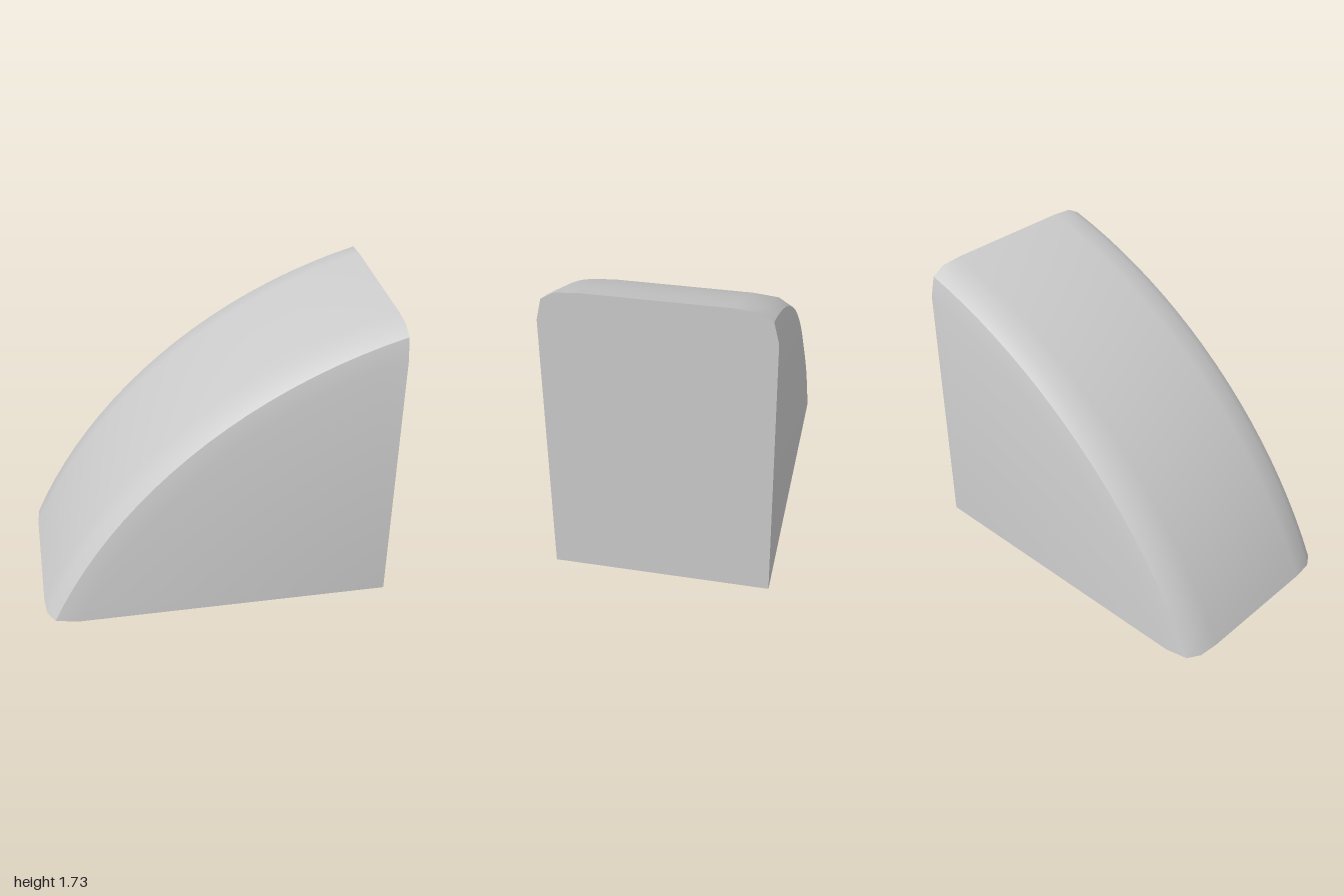
import * as THREE from 'three';
import { toCreasedNormals } from 'three/addons/utils/BufferGeometryUtils.js';

// Circle that carries the curved back (in the XY plane)
const CX = 1.839, CY = -1.2665, R = 3.1087;
const STEPS = 20;

// Rounded edge: half-width z against inset from the curved back
const EDGE = [[0.6, 0.165], [0.572, 0.05], [0.5, 0.01], [0.38, 0]];
const PROFILE = [
  ...EDGE.map(([z, d]) => [-z, d]),
  ...EDGE.slice().reverse(),
];

// Point on the back, trimmed exactly to the planes y = 0 and x = 1
function backPoint(t, [z, inset]) {
  const r = R - inset;
  const a0 = Math.asin(-CY / r), a1 = Math.acos((CX - 1) / r);
  const a = a0 + (a1 - a0) * t;
  return [CX - r * Math.cos(a), CY + r * Math.sin(a), z];
}

export function createModel() {
  const positions = [];
  const tri = (a, b, c) => positions.push(...a, ...b, ...c);
  const fan = (p) => {
    for (let i = 1; i < p.length - 1; i++) tri(p[0], p[i], p[i + 1]);
  };

  const rows = [];
  for (let i = 0; i <= STEPS; i++) rows.push(PROFILE.map((p) => backPoint(i / STEPS, p)));
  const last = PROFILE.length - 1;

  // Curved back with rounded edges
  for (let i = 0; i < STEPS; i++) {
    for (let j = 0; j < last; j++) {
      const a = rows[i][j], b = rows[i][j + 1], c = rows[i + 1][j + 1], d = rows[i + 1][j];
      tri(a, b, c);
      tri(a, c, d);
    }
  }

  // Flat bottom, upright end and both side walls
  const front = [1, 0, 0.6], rear = [1, 0, -0.6];
  fan([front, ...rows[0].slice().reverse(), rear]);
  fan([front, rear, ...rows[STEPS]]);
  fan([front, ...rows.map((r) => r[last]).reverse()]);
  fan([rear, ...rows.map((r) => r[0])]);

  const geometry = new THREE.BufferGeometry();
  geometry.setAttribute('position', new THREE.Float32BufferAttribute(positions, 3));

  const wedge = new THREE.Mesh(
    toCreasedNormals(geometry, 0.65),
    new THREE.MeshStandardMaterial({ color: 0xcccccc })
  );
  wedge.name = 'curvedWedge';

  const group = new THREE.Group();
  group.name = 'roundedWedgeBlock';
  group.add(wedge);
  return group;
}
